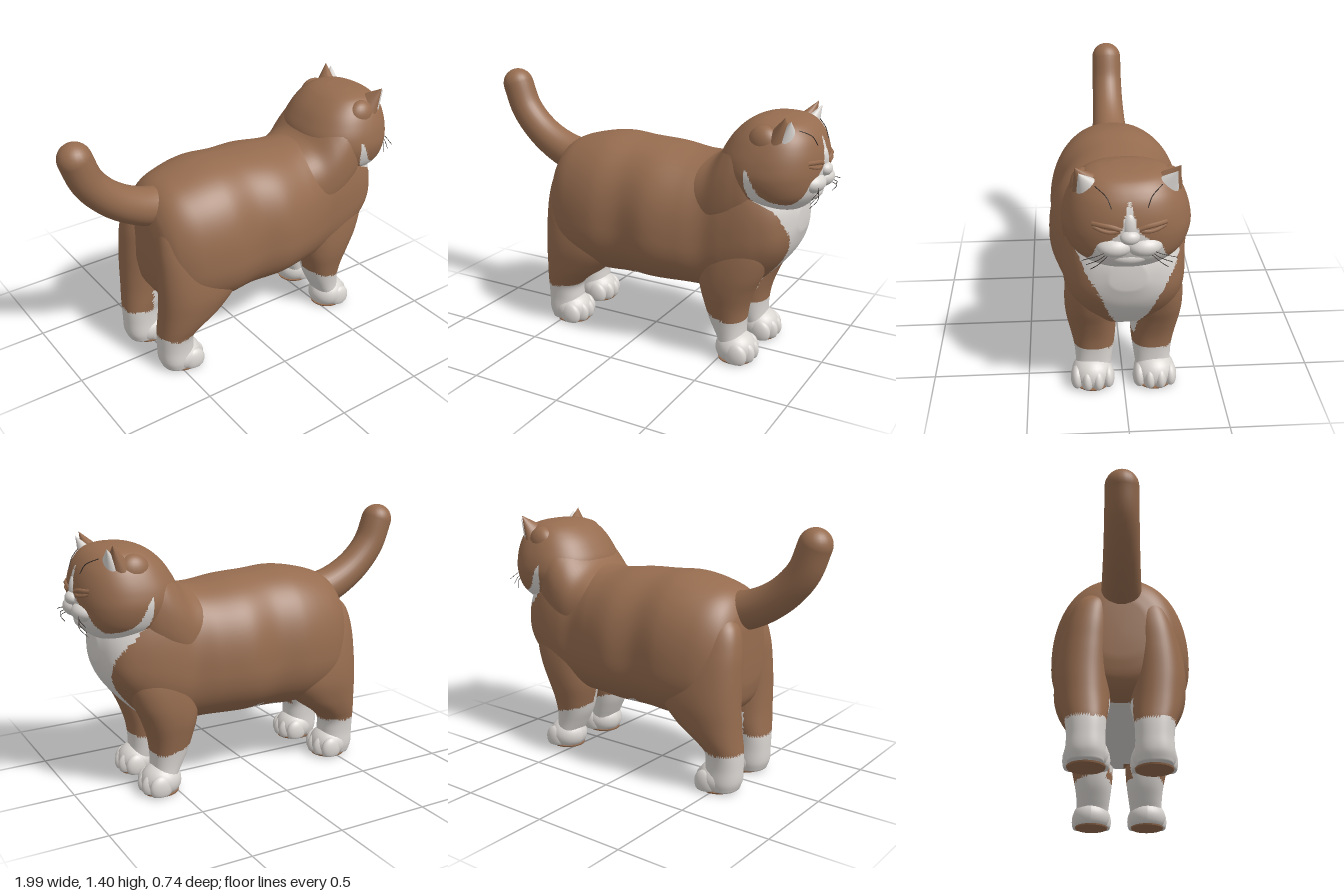
import * as THREE from 'three';

const mat = (name, color) => {
  const m = new THREE.MeshStandardMaterial({ color });
  m.name = name;
  return m;
};

// Smooth lookup in a table whose rows start with a rising key
function sample(rows, k) {
  const n = rows.length - 1;
  if (k <= rows[0][0]) return rows[0].slice(1);
  if (k >= rows[n][0]) return rows[n].slice(1);
  let i = 0;
  while (k > rows[i + 1][0]) i++;
  const a = rows[i], b = rows[i + 1], p = rows[Math.max(i - 1, 0)], q = rows[Math.min(i + 2, n)];
  const d = b[0] - a[0], t = (k - a[0]) / d;
  return a.slice(1).map((_, c) => {
    const j = c + 1;
    const ma = (b[j] - p[j]) / (b[0] - p[0]) * d, mb = (q[j] - a[j]) / (q[0] - a[0]) * d;
    const t2 = t * t, t3 = t2 * t;
    return (2 * t3 - 3 * t2 + 1) * a[j] + (t3 - 2 * t2 + t) * ma + (3 * t2 - 2 * t3) * b[j] + (t3 - t2) * mb;
  });
}

// Edges of the white coat markings
const faceMask = [[0.88, 0.2], [0.95, 0.165], [1.0, 0.145], [1.04, 0.09], [1.08, 0.045], [1.15, 0.022], [1.22, 0.004]];
const chestWidth = [[0.3, 0.04], [0.4, 0.055], [0.5, 0.09], [0.6, 0.115], [0.7, 0.155], [0.8, 0.21], [0.9, 0.27], [0.95, 0.4]];
const ruffBack = [[0.3, 0.4], [0.5, 0.55], [0.7, 0.68], [0.8, 0.74], [0.88, 0.72], [0.95, 0.66], [1.08, 0.645]];
const cheekLine = [[0.4, 1.1], [0.65, 1.08], [0.72, 0.96], [0.82, 0.91], [1, 0.9]];
const bellyWidth = [[-0.21, 0], [-0.18, 0.13], [-0.1, 0.21], [-0.01, 0.16], [0.08, 0.125], [0.43, 0.125]];

function isWhite(x, y, z) {
  const a = Math.abs(z);
  const sock = 0.222 + (x > 0 ? Math.max(0, 0.56 - x) * 0.35 : 0);
  if (y < sock + 0.004 * Math.sin(38 * x + 23 * z)) return true;
  if (x < -0.2 && x > -0.5 && y < 0.36 && a < 0.1) return true;
  if (x > -0.21 && x < 0.43 && y < 0.41 && a < sample(bellyWidth, x)[0]) return true;
  if (x > 0.8 && y > 0.88 && y < 1.22 && a < sample(faceMask, y)[0]) return true;
  return y > 0.3 && x > sample(ruffBack, y)[0] && y < sample(cheekLine, x)[0] && Math.abs(z + 0.015) < sample(chestWidth, y)[0];
}

const POWER = 2.3;
const squircle = v => Math.sign(v) * Math.abs(v) ** (2 / POWER);

// Closed skin over cross-sections [key, low, high, zCentre, zHalf]; key runs along x or y,
// and waist tells where between low and high a section is widest
function loft(rows, axis, rings, sides, mats, waist = 0.5) {
  const pos = [], brown = [], white = [], k0 = rows[0][0], k1 = rows[rows.length - 1][0];
  for (let i = -1; i <= rings + 1; i++) {
    const t = THREE.MathUtils.clamp(i / rings, 0, 1);
    const k = k0 + (k1 - k0) * (0.5 * t + 0.25 * (1 - Math.cos(Math.PI * t)));
    const [lo, hi, c, h] = sample(rows, k), s = i < 0 || i > rings ? 0 : 1;
    for (let j = 0; j < sides; j++) {
      const th = j / sides * Math.PI * 2, cos = Math.cos(th);
      const u = lo + (hi - lo) * (waist + s * (cos > 0 ? 1 - waist : waist) * squircle(cos));
      const w = s * h * squircle(Math.sin(th));
      if (axis === 'x') pos.push(k, u, c - w);
      else pos.push(u, k, c + w);
    }
  }
  const add = (...tri) => {
    const m = [0, 1, 2].map(d => tri.reduce((sum, v) => sum + pos[v * 3 + d], 0) / 3);
    (isWhite(...m) ? white : brown).push(...tri);
  };
  for (let i = 0; i < rings + 2; i++) for (let j = 0; j < sides; j++) {
    const a = i * sides + j, b = i * sides + (j + 1) % sides, c = a + sides, d = b + sides;
    if (i > 0) add(a, c, b);
    if (i <= rings) add(b, c, d);
  }
  const g = new THREE.BufferGeometry();
  g.setAttribute('position', new THREE.Float32BufferAttribute(pos, 3));
  g.setIndex([...brown, ...white]);
  g.addGroup(0, brown.length, 0);
  g.addGroup(brown.length, white.length, 1);
  g.computeVertexNormals();
  return new THREE.Mesh(g, mats);
}

const torsoRows = [
  [-0.575, 0.56, 0.86, 0, 0.13], [-0.555, 0.46, 0.95, 0, 0.22], [-0.5, 0.39, 1.03, 0, 0.285],
  [-0.4, 0.35, 1.075, 0, 0.335], [-0.22, 0.335, 1.108, 0, 0.365], [-0.05, 0.34, 1.1, 0, 0.348],
  [0.12, 0.345, 1.09, 0, 0.372], [0.3, 0.35, 1.07, 0, 0.338], [0.42, 0.345, 1.085, 0, 0.305],
  [0.52, 0.35, 1.15, 0, 0.305], [0.62, 0.39, 1.17, 0, 0.298], [0.7, 0.46, 1.1, 0, 0.28],
  [0.78, 0.55, 1.0, 0, 0.24], [0.83, 0.63, 0.94, 0, 0.175], [0.865, 0.73, 0.87, 0, 0.08]];
const neckRows = [
  [0.2, 0.7, 0.98, 0, 0.2], [0.32, 0.62, 1.05, 0, 0.262], [0.42, 0.6, 1.095, 0, 0.286],
  [0.5, 0.62, 1.185, 0, 0.3], [0.58, 0.66, 1.26, 0, 0.298], [0.66, 0.72, 1.28, 0, 0.272],
  [0.74, 0.82, 1.18, 0, 0.18]];
const headRows = [
  [0.83, 0.6, 0.8, 0, 0.1], [0.86, 0.52, 0.87, 0, 0.19], [0.9, 0.48, 0.91, 0, 0.245],
  [0.95, 0.45, 0.94, 0, 0.28], [1.03, 0.43, 0.955, 0, 0.302], [1.1, 0.43, 0.957, 0, 0.295],
  [1.17, 0.465, 0.945, 0, 0.272], [1.23, 0.51, 0.92, 0, 0.24], [1.28, 0.57, 0.875, 0, 0.195],
  [1.303, 0.62, 0.82, 0, 0.14], [1.314, 0.67, 0.75, 0, 0.06]];
const hindRows = [
  [0.012, -0.58, -0.42, 0.165, 0.085], [0.06, -0.597, -0.4, 0.165, 0.096], [0.14, -0.6, -0.405, 0.165, 0.094],
  [0.22, -0.6, -0.4, 0.168, 0.1], [0.28, -0.595, -0.34, 0.175, 0.115], [0.36, -0.59, -0.23, 0.182, 0.132],
  [0.48, -0.587, -0.13, 0.186, 0.147], [0.62, -0.585, -0.12, 0.178, 0.143], [0.76, -0.578, -0.17, 0.162, 0.125],
  [0.87, -0.55, -0.25, 0.145, 0.095], [0.94, -0.49, -0.32, 0.13, 0.05]];
const foreRows = [
  [0.012, 0.51, 0.61, 0.16, 0.08], [0.08, 0.495, 0.625, 0.158, 0.09], [0.15, 0.46, 0.62, 0.153, 0.096],
  [0.22, 0.425, 0.622, 0.152, 0.105], [0.3, 0.4, 0.635, 0.156, 0.117], [0.4, 0.375, 0.67, 0.165, 0.128],
  [0.5, 0.37, 0.715, 0.17, 0.13], [0.62, 0.38, 0.75, 0.17, 0.122], [0.74, 0.41, 0.745, 0.16, 0.108],
  [0.86, 0.48, 0.69, 0.15, 0.06]];

// Front surface of the face at a height and side position
function faceX(y, z) {
  const [lo, hi, , h] = sample(headRows, y);
  return (lo + hi) / 2 + (hi - lo) / 2 * Math.max(0, 1 - Math.abs(z / h) ** POWER) ** (1 / POWER);
}

// Unit ball with its underside pressed flat, for paws and toes
function flatBall() {
  const g = new THREE.SphereGeometry(1, 24, 18), p = g.attributes.position;
  for (let i = 0; i < p.count; i++) p.setY(i, Math.max(p.getY(i), -0.6));
  g.computeVertexNormals();
  return g;
}

export function createModel() {
  const cat = new THREE.Group();
  cat.name = 'cat';
  const brown = mat('brown fur', 0x966c4f), white = mat('white fur', 0xd9d5d1), dark = mat('dark hair', 0x2e2723);
  const coat = [brown, white];
  const put = (name, mesh) => { mesh.name = name; cat.add(mesh); return mesh; };
  const round = new THREE.SphereGeometry(1, 24, 18), padded = flatBall();
  const ball = (name, m, x, y, z, rx, ry, rz, geo = round) => {
    const b = put(name, new THREE.Mesh(geo, m));
    b.position.set(x, y, z);
    b.scale.set(rx, ry, rz);
  };
  const strand = (name, m, r, pts) => put(name, new THREE.Mesh(new THREE.TubeGeometry(
    new THREE.CatmullRomCurve3(pts.map(p => new THREE.Vector3(...p))), 14, r, 6), m));

  put('torso', loft(torsoRows, 'x', 120, 112, coat, 0.42));
  put('neck', loft(neckRows, 'x', 50, 60, coat));
  put('head', loft(headRows, 'y', 100, 180, coat));

  // Tail, slightly thicker at its root
  const curve = new THREE.CatmullRomCurve3([[-0.38, 0.925], [-0.5, 0.93], [-0.63, 0.975], [-0.76, 1.06], [-0.86, 1.175], [-0.914, 1.312]]
    .map(([x, y]) => new THREE.Vector3(x, y, 0.005)));
  const tailGeo = new THREE.TubeGeometry(curve, 40, 0.086, 28), tp = tailGeo.attributes.position;
  for (let i = 0; i < tp.count; i++) {
    const t = Math.floor(i / 29) / 40, c = curve.getPointAt(t), v = new THREE.Vector3().fromBufferAttribute(tp, i);
    v.sub(c).multiplyScalar(1 + 0.35 * (1 - t) ** 2).add(c);
    tp.setXYZ(i, v.x, v.y, v.z);
  }
  put('tail', new THREE.Mesh(tailGeo, brown));
  ball('tailTip', brown, -0.914, 1.312, 0.005, 0.086, 0.086, 0.086);

  for (const s of [1, -1]) {
    const side = s > 0 ? 'left' : 'right';

    // Legs, paws, toes and brown soles
    for (const [name, rows, front, shift] of [['HindLeg', hindRows, -0.345, s > 0 ? 0 : -0.03], ['ForeLeg', foreRows, 0.695, 0]]) {
      const placed = rows.map(([k, lo, hi, c, h]) => [k, lo + shift, hi + shift, c * s, h]);
      put(side + name, loft(placed, 'y', 60, 64, coat));
      const x = front + shift, z = 0.163 * s;
      ball(side + name + 'Paw', white, x - 0.12, 0.065, z, 0.108, 0.095, 0.108, padded);
      for (const [dz, dx] of [[-0.081, 0.024], [-0.028, 0], [0.028, 0], [0.081, 0.024]])
        ball(side + name + 'Toe', white, x - 0.062 - dx, 0.049, z + dz, 0.062, 0.068, 0.034, padded);
      const sole = put(side + name + 'Sole', new THREE.Mesh(new THREE.CylinderGeometry(1, 0.97, 0.008, 24), brown));
      sole.position.set(x - 0.116, 0.004, z);
      sole.scale.set(0.098, 1, 0.095);
    }

    // Ear: flattened cone with a pale hollow facing forward, and a low fold behind it
    ball(side + 'EarFold', brown, 0.705, 1.2, 0.198 * s, 0.085, 0.085, 0.062);
    const base = new THREE.Vector3(0.765, 1.205, 0.163 * s), tip = new THREE.Vector3(0.822, 1.342, 0.237 * s);
    const dir = tip.clone().sub(base), q = new THREE.Quaternion().setFromUnitVectors(new THREE.Vector3(0, 1, 0), dir.clone().normalize());
    for (const [name, m, f, dx] of [['Ear', brown, 1, 0], ['InnerEar', white, 0.74, 0.032]]) {
      const ear = put(side + name, new THREE.Mesh(new THREE.ConeGeometry(0.1 * f, dir.length() * f, 28).scale(0.66, 1, 1), m));
      ear.quaternion.copy(q);
      ear.position.copy(base).addScaledVector(dir, 0.5).add(new THREE.Vector3(dx, 0, -0.2 * dx * s));
    }

    // Narrow closed eyes: two soft lids meeting in a crease
    const onFace = (y, z, out = 0) => [faceX(y, z) + out, y, z * s];
    strand(side + 'UpperLid', brown, 0.012, [onFace(1.095, 0.042, -0.005), onFace(1.108, 0.08), onFace(1.113, 0.12), onFace(1.115, 0.165, -0.005)]);
    strand(side + 'LowerLid', brown, 0.009, [onFace(1.085, 0.05, -0.005), onFace(1.083, 0.09), onFace(1.089, 0.125), onFace(1.1, 0.16, -0.005)]);

    // Muzzle pad and hairs
    ball(side + 'MuzzlePad', white, 0.908, 0.998, 0.066 * s, 0.072, 0.053, 0.086);
    for (let i = 0; i < 3; i++)
      strand(side + 'Whisker', dark, 0.0016, [[0.955, 0.99 - 0.012 * i, 0.1 * s], [0.972, 0.98 - 0.022 * i, 0.14 * s], [0.965 - 0.012 * i, 0.955 - 0.03 * i, (0.215 - 0.02 * i) * s]]);
    strand(side + 'BrowHair', dark, 0.002, [onFace(1.19, 0.08, 0.003), onFace(1.235, 0.1, 0.008), onFace(1.268, 0.15, 0.012)]);
  }

  // Nose, bridge and chin
  ball('nose', white, 0.955, 1.058, 0, 0.035, 0.034, 0.045);
  ball('noseBridge', white, 0.935, 1.1, 0, 0.032, 0.07, 0.034);
  ball('chin', white, 0.885, 0.935, 0, 0.058, 0.045, 0.1);
  return cat;
}
